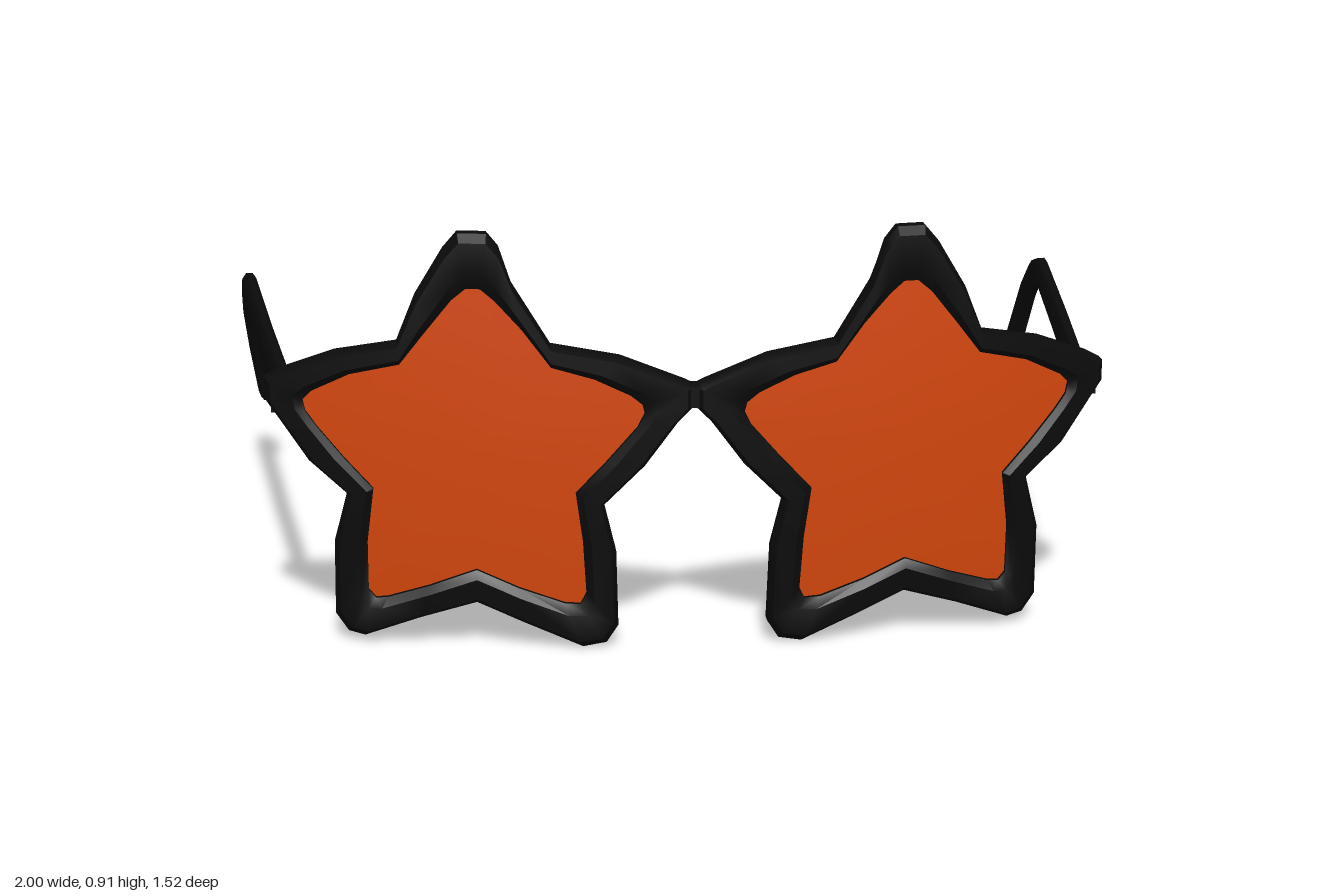
import * as THREE from 'three';
import { toCreasedNormals } from 'three/addons/utils/BufferGeometryUtils.js';

// Star outline, clockwise from the top tip: outer x, y and matching inner x, y
const STAR = [
  [0.43, 0.915, 0.445, 0.80], [0.49, 0.915, 0.475, 0.80], [0.52, 0.88, 0.505, 0.775],
  [0.58, 0.78, 0.565, 0.70], [0.62, 0.68, 0.615, 0.635], [0.75, 0.655, 0.72, 0.61],
  [0.865, 0.61, 0.80, 0.57], [0.90, 0.59, 0.82, 0.55], [0.90, 0.545, 0.815, 0.525],
  [0.875, 0.51, 0.79, 0.49], [0.81, 0.415, 0.735, 0.425], [0.73, 0.345, 0.675, 0.36],
  [0.76, 0.23, 0.69, 0.24], [0.762, 0.07, 0.69, 0.13], [0.735, 0.03, 0.675, 0.112],
  [0.70, 0.022, 0.65, 0.115], [0.58, 0.07, 0.56, 0.145], [0.46, 0.11, 0.46, 0.185],
  [0.36, 0.065, 0.37, 0.145], [0.235, 0.01, 0.275, 0.112], [0.185, 0.02, 0.24, 0.11],
  [0.16, 0.06, 0.228, 0.135], [0.165, 0.23, 0.235, 0.25], [0.19, 0.335, 0.25, 0.36],
  [0.105, 0.42, 0.185, 0.43], [0.035, 0.515, 0.12, 0.505], [0, 0.55, 0.105, 0.535],
  [0, 0.592, 0.11, 0.555], [0.02, 0.602, 0.135, 0.575], [0.155, 0.655, 0.21, 0.61],
  [0.30, 0.68, 0.30, 0.635], [0.38, 0.81, 0.36, 0.715], [0.405, 0.885, 0.415, 0.775],
];
// Rim cross-section: share of the way from outer to inner edge, depth
const RIM = [[0, 0.015], [0.15, 0.033], [0.75, 0.033], [1, 0.02],
  [1, -0.02], [0.75, -0.033], [0.15, -0.033], [0, -0.015]];
// Temple centre line: x, y, z, half height
const TEMPLE = [
  [0.855, 0.548, 0.58, 0.038], [0.915, 0.556, 0.1, 0.034], [0.973, 0.565, -0.39, 0.03],
  [0.981, 0.537, -0.49, 0.03], [0.984, 0.47, -0.585, 0.034], [0.975, 0.36, -0.655, 0.04],
  [0.958, 0.235, -0.707, 0.049], [0.953, 0.208, -0.722, 0.03],
];
const BEVELLED = [[-0.5, 1], [0.5, 1], [1, 0.6], [1, -0.6],
  [0.5, -1], [-0.5, -1], [-1, -0.6], [-1, 0.6]];

// Wrap-around curve of the front
const bend = (x, y) => 0.735 - 0.19 * x * x - 0.1 * (y - 0.56) ** 2;

// Skins a list of rings; side = -1 mirrors in x
function loft(rings, side, { loop = false, openSection = false, crease = 0.6 } = {}) {
  const n = rings[0].length, m = rings.length, index = [];
  const tri = (a, b, c) => index.push(...(side > 0 ? [a, b, c] : [a, c, b]));
  for (let i = 0; i < (loop ? m : m - 1); i++) {
    for (let j = 0; j < (openSection ? n - 1 : n); j++) {
      const i2 = (i + 1) % m, j2 = (j + 1) % n;
      const a = i * n + j, b = i * n + j2, c = i2 * n + j, d = i2 * n + j2;
      tri(a, b, c);
      tri(b, d, c);
    }
  }
  if (!loop) {
    const e = (m - 1) * n;
    for (let j = 1; j < n - 1; j++) {
      tri(0, j + 1, j);
      tri(e, e + j, e + j + 1);
    }
  }
  const geo = new THREE.BufferGeometry();
  const pos = rings.flat().flatMap(([x, y, z]) => [x * side, y, z]);
  geo.setAttribute('position', new THREE.Float32BufferAttribute(pos, 3));
  geo.setIndex(index);
  return toCreasedNormals(geo, crease);
}

function rimGeometry(side) {
  const rings = STAR.map(([ox, oy, ix, iy]) => RIM.map(([t, dz]) => {
    const x = ox + (ix - ox) * t, y = oy + (iy - oy) * t;
    return [x, y, bend(x, y) + dz];
  }));
  return loft(rings, side, { loop: true });
}

// Curved sheet running from the rim to the star centre
function lensGeometry(side) {
  const cx = 0.46, cy = 0.43;
  const rings = STAR.map(([, , ix, iy]) => [1.02, 0.8, 0.6, 0.4, 0.2, 0].map((k) => {
    const x = cx + (ix - cx) * k, y = cy + (iy - cy) * k;
    return [x, y, bend(x, y) + 0.01];
  }));
  return loft(rings, side, { loop: true, openSection: true, crease: 1 });
}

function templeGeometry(side) {
  const rings = TEMPLE.map(([x, y, z, h], i) => {
    const p = TEMPLE[Math.max(i - 1, 0)], q = TEMPLE[Math.min(i + 1, TEMPLE.length - 1)];
    const dy = q[1] - p[1], dz = q[2] - p[2], len = Math.hypot(dy, dz);
    return BEVELLED.map(([u, v]) => [x + u * 0.016, y - v * h * dz / len, z + v * h * dy / len]);
  });
  return loft(rings, side);
}

export function createModel() {
  const black = new THREE.MeshStandardMaterial({ color: 0x0b0b0b });
  black.name = 'black plastic';
  const orange = new THREE.MeshStandardMaterial({ color: 0xd6470c, side: THREE.DoubleSide });
  orange.name = 'orange lens';

  const model = new THREE.Group();
  model.name = 'starGlasses';
  const add = (name, geo, mat) => {
    const mesh = new THREE.Mesh(geo, mat);
    mesh.name = name;
    model.add(mesh);
    return mesh;
  };

  for (const [label, side] of [['left', 1], ['right', -1]]) {
    add(label + 'Rim', rimGeometry(side), black);
    add(label + 'Lens', lensGeometry(side), orange);
    add(label + 'Temple', templeGeometry(side), black);
    // Hinge block behind the outer star tip
    add(label + 'Hinge', new THREE.BoxGeometry(0.05, 0.07, 0.05), black)
      .position.set(0.862 * side, 0.55, 0.575);
  }
  // Small bridge joining the two inner tips
  add('bridge', new THREE.BoxGeometry(0.05, 0.045, 0.05), black).position.set(0, 0.57, 0.735);
  return model;
}
